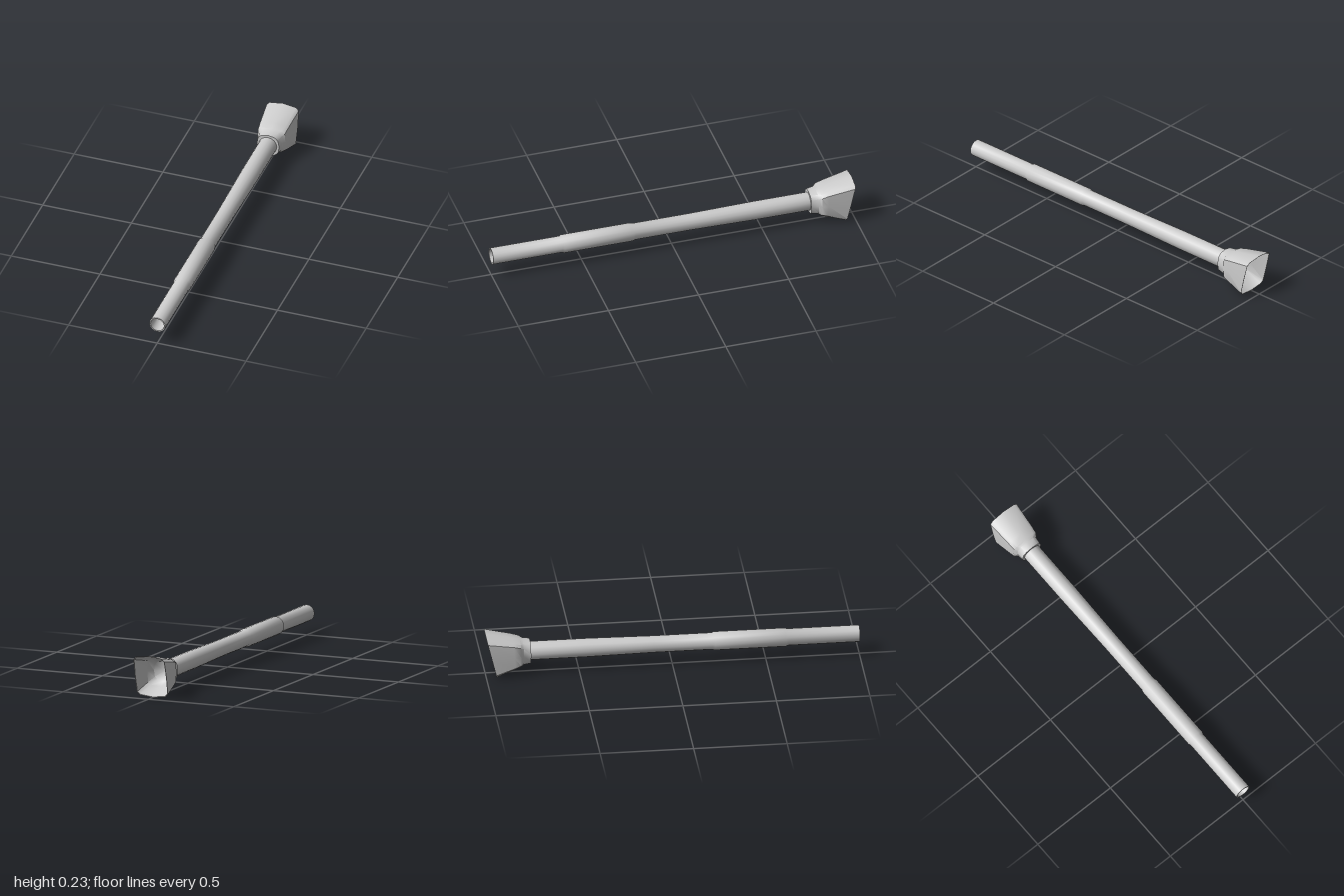
import * as THREE from 'three';
import { toCreasedNormals } from 'three/addons/utils/BufferGeometryUtils.js';

const AXIS_Y = 0.119;

// Ring of 12 points; square = 0 is round, 1 is a bulged rectangle with cut corners
function ring(z, w, h, square, slant = 0, cy = AXIS_Y) {
  const quarter = [[1, 0], [0.97, 0.79], [0.81, 0.92], [0, 1]];
  const points = [];
  for (let i = 0; i < 12; i++) {
    const a = (i * Math.PI) / 6;
    const c = Math.cos(a), s = Math.sin(a);
    const k = i % 6;
    const [qx, qy] = quarter[k <= 3 ? k : 6 - k];
    const x = THREE.MathUtils.lerp(c, qx * Math.sign(Math.round(c * 10)), square);
    const y = THREE.MathUtils.lerp(s, qy * Math.sign(Math.round(s * 10)), square);
    points.push([x * w, cy + y * h, z - slant * y]);
  }
  return points;
}

// Skin over successive rings running towards -z
function loft(rings) {
  const n = rings[0].length;
  const index = [];
  for (let r = 0; r < rings.length - 1; r++) {
    for (let j = 0; j < n; j++) {
      const a = r * n + j, b = r * n + ((j + 1) % n);
      index.push(a, a + n, b, b, a + n, b + n);
    }
  }
  const geo = new THREE.BufferGeometry();
  geo.setAttribute('position', new THREE.Float32BufferAttribute(rings.flat(2), 3));
  geo.setIndex(index);
  return toCreasedNormals(geo, 0.7);
}

export function createModel() {
  const group = new THREE.Group();
  const material = new THREE.MeshStandardMaterial({ color: 0xcccccc, side: THREE.DoubleSide });
  const add = (name, geometry) => {
    const mesh = new THREE.Mesh(geometry, material);
    mesh.name = name;
    group.add(mesh);
    return mesh;
  };

  // Stepped barrel with a hollow, dished front end: [radius, z]
  const profile = [
    [0.05, -0.79], [0.05, -0.46], [0.045, -0.1], [0.045, 0.21],
    [0.05, 0.225], [0.05, 0.605], [0.045, 0.615], [0.045, 1],
    [0.038, 1], [0.038, 0.9], [0.03, 0.88], [0.017, 0.865], [0, 0.86],
  ].map(([r, z]) => new THREE.Vector2(r, z));
  const barrelGeo = toCreasedNormals(new THREE.LatheGeometry(profile, 16).rotateX(Math.PI / 2), 0.7);
  add('barrel', barrelGeo).position.y = AXIS_Y;

  // Flared rear cup: collar, shoulder, slanted rim, then the inner funnel
  add('flaredCup', loft([
    ring(-0.76, 0.048, 0.048, 0),
    ring(-0.76, 0.063, 0.064, 0.3),
    ring(-0.8, 0.066, 0.068, 0.45),
    ring(-0.815, 0.079, 0.073, 0.75),
    ring(-0.85, 0.082, 0.083, 0.9, 0.005),
    ring(-0.972, 0.093, 0.1165, 1, 0.028, 0.1165),
    ring(-0.971, 0.09, 0.1135, 1, 0.027, 0.1165),
    ring(-0.85, 0.076, 0.077, 0.9, 0.005),
    ring(-0.81, 0.055, 0.055, 0.4),
    ring(-0.79, 0, 0, 0),
  ]));

  return group;
}
